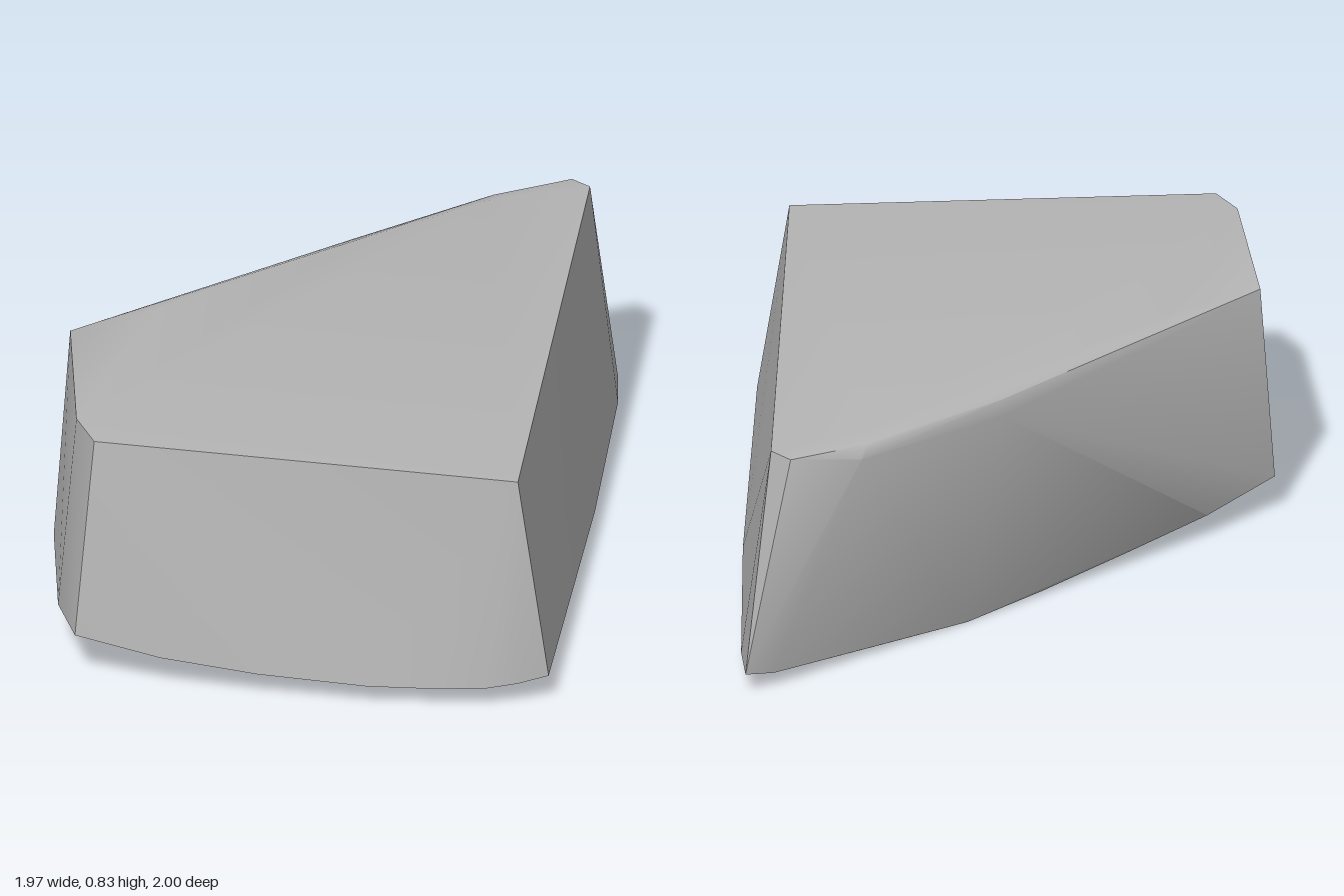
import * as THREE from 'three';
import { ConvexGeometry } from 'three/addons/geometries/ConvexGeometry.js';
import { toCreasedNormals } from 'three/addons/utils/BufferGeometryUtils.js';

// Corners of the top face, running round from the front right
const topRing = [
  [0.43, 0.76, 0.90], [-0.89, 0.82, 0.58], [-0.93, 0.83, 0.44], [-0.88, 0.83, -0.14],
  [0.83, 0.81, -0.985], [0.88, 0.815, -0.92],
];

// Rounded upper back edge: outer lip, shoulder and inner line
const backEdge = [
  [-0.60, 0.80, -0.31], [0.08, 0.75, -0.70], [0.59, 0.77, -0.95],
  [-0.59, 0.825, -0.295], [0.08, 0.80, -0.685], [0.57, 0.805, -0.92],
  [-0.58, 0.835, -0.25], [0.08, 0.83, -0.62], [0.55, 0.825, -0.85],
];

// Gently bowed bottom edge: front, right, back, left
const bottomRing = [
  [-0.96, 0.16, 0.65], [-0.70, 0.115, 0.75], [-0.40, 0.085, 0.84], [-0.06, 0.07, 0.935],
  [0.16, 0.068, 0.975], [0.32, 0.072, 0.997], [0.42, 0.08, 0.992], [0.52, 0.09, 0.97],
  [0.80, 0.078, -0.12], [0.96, 0.07, -0.84], [0.98, 0.07, -1.0],
  [0.88, 0.052, -0.97], [0.48, 0.013, -0.765], [0.18, 0, -0.64], [-0.09, 0.013, -0.50],
  [-0.40, 0.045, -0.35], [-0.69, 0.085, -0.22], [-0.94, 0.13, -0.08], [-0.99, 0.165, 0.45],
];

export function createModel() {
  const group = new THREE.Group();
  group.name = 'stoneBlock';

  const stone = new THREE.MeshStandardMaterial({ color: 0xb4b4b4 });
  stone.name = 'grey stone';

  // One convex chunk, smooth along the rounded edge and sharp elsewhere
  const points = [...topRing, ...backEdge, ...bottomRing].map((p) => new THREE.Vector3(...p));
  const block = new THREE.Mesh(toCreasedNormals(new ConvexGeometry(points), 0.65), stone);
  block.name = 'block';
  group.add(block);
  return group;
}
